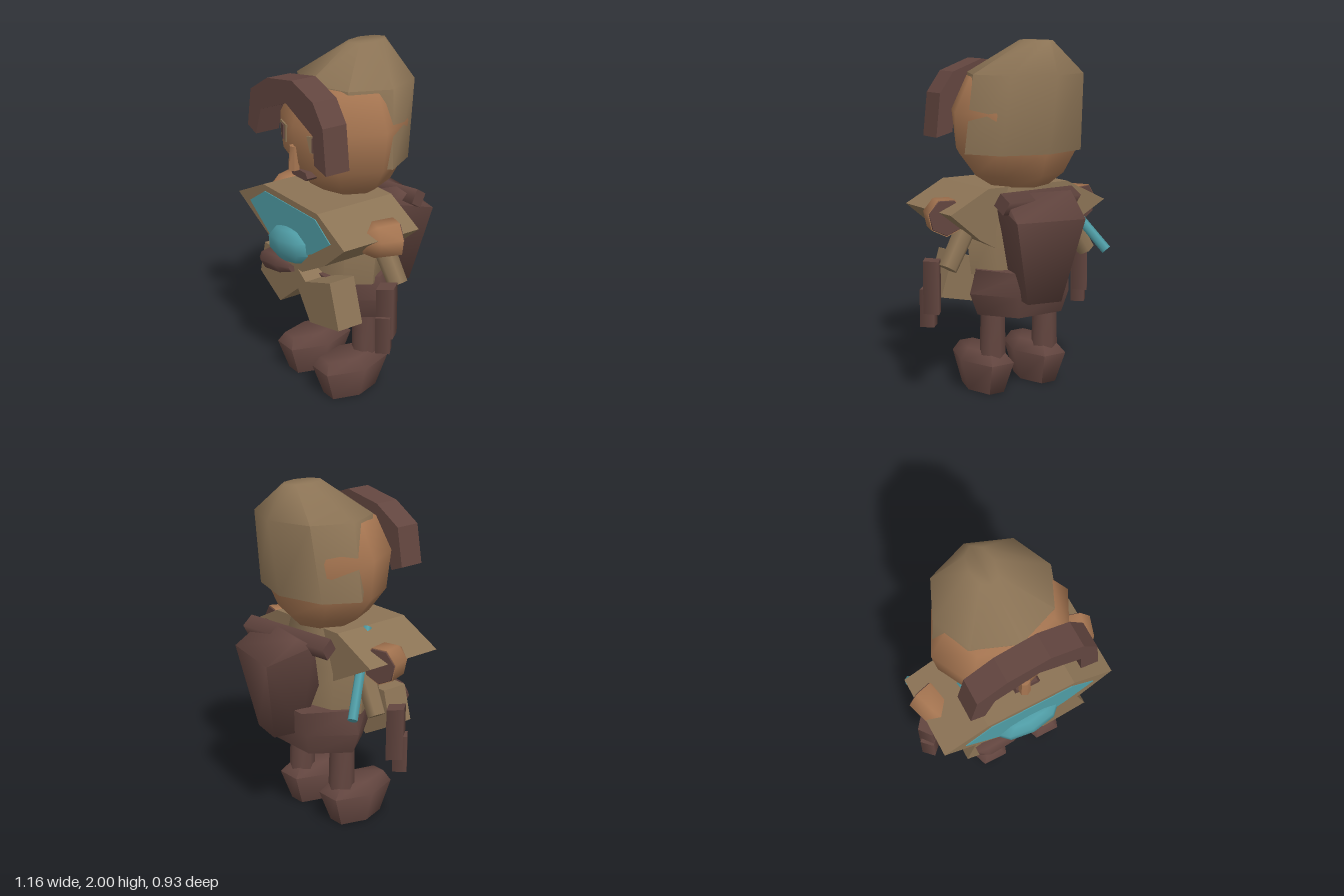
import * as THREE from 'three';
import { toCreasedNormals } from 'three/addons/utils/BufferGeometryUtils.js';

export function createModel() {
  const model = new THREE.Group();
  const mat = (name, color) => {
    const m = new THREE.MeshStandardMaterial({ color });
    m.name = name;
    return m;
  };
  const tan = mat('tan cloth', 0x8b7355);
  const brown = mat('dark brown leather', 0x62453f);
  const skin = mat('skin', 0xa47450);
  const teal = mat('teal', 0x4f9ca5);

  const add = (name, geo, material, pos = [0, 0, 0], rot = [0, 0, 0]) => {
    const mesh = new THREE.Mesh(geo, material);
    mesh.name = name;
    mesh.position.set(...pos);
    mesh.rotation.set(...rot);
    model.add(mesh);
    return mesh;
  };

  // Closed loft through elliptical rings [y, rx, rz, cx, cz], listed bottom to top
  const loft = (rings, sides = 8, crease = 0.9, phase = 0) => {
    const pos = [], idx = [];
    rings.forEach(([y, rx, rz, cx = 0, cz = 0]) => {
      for (let i = 0; i < sides; i++) {
        const a = (i / sides) * Math.PI * 2 + phase;
        pos.push(cx + rx * Math.sin(a), y, cz + rz * Math.cos(a));
      }
    });
    for (let r = 0; r < rings.length - 1; r++) {
      for (let i = 0; i < sides; i++) {
        const a = r * sides + i, b = r * sides + ((i + 1) % sides);
        idx.push(a, b, b + sides, a, b + sides, a + sides);
      }
    }
    const top = (rings.length - 1) * sides;
    for (let i = 1; i < sides - 1; i++) {
      idx.push(0, i + 1, i, top, top + i, top + i + 1);
    }
    const g = new THREE.BufferGeometry();
    g.setAttribute('position', new THREE.Float32BufferAttribute(pos, 3));
    g.setIndex(idx);
    return toCreasedNormals(g, crease);
  };

  // Move vertices by a rule, then rebuild the normals
  const reshape = (geo, rule, crease) => {
    const p = geo.attributes.position, v = new THREE.Vector3();
    for (let i = 0; i < p.count; i++) {
      rule(v.fromBufferAttribute(p, i));
      p.setXYZ(i, v.x, v.y, v.z);
    }
    return toCreasedNormals(geo, crease);
  };

  // Flat outline in x, y pulled from z0 to z1
  const slab = (points, z0, z1) => {
    const shape = new THREE.Shape(points.map(([x, y]) => new THREE.Vector2(x, y)));
    const g = new THREE.ExtrudeGeometry(shape, { depth: z1 - z0, bevelEnabled: false });
    return g.translate(0, 0, z0);
  };

  // Tapered rod between two points
  const rod = (name, a, b, ra, rb, sides, material) => {
    const p = new THREE.Vector3(...a), q = new THREE.Vector3(...b);
    const dir = q.clone().sub(p);
    const g = new THREE.CylinderGeometry(rb, ra, dir.length(), sides);
    const mesh = add(name, g, material, p.clone().add(q).multiplyScalar(0.5).toArray());
    mesh.quaternion.setFromUnitVectors(new THREE.Vector3(0, 1, 0), dir.normalize());
  };

  // Four-sided post with its corners on the x and z axes
  const post = (rx, h, rz) => new THREE.CylinderGeometry(1, 1, h, 4).scale(rx, 1, rz);

  // Head
  add('head', loft([
    [1.17, 0.06, 0.05, 0, 0.02], [1.19, 0.17, 0.15, 0, 0.01], [1.26, 0.28, 0.235, 0, 0.025],
    [1.39, 0.375, 0.3, 0, 0.045], [1.61, 0.402, 0.328, 0, 0.04],
    [1.8, 0.31, 0.26, 0, 0.03], [1.9, 0.1, 0.1, 0, 0],
  ], 8, 1.5), skin);

  // Hood, with its lower front tucked into the head
  add('hood', reshape(loft([
    [1.39, 0.378, 0.268, 0, -0.018], [1.82, 0.338, 0.312, 0, -0.045], [2, 0.07, 0.122, -0.014, -0.132],
  ], 8), (v) => {
    if (v.y < 1.4 && v.z > 0.1) v.multiply(new THREE.Vector3(0.75, 1, 0.7));
  }, 1.2), tan);

  // Fringe arching over the brow
  add('hairFringe', slab([
    [-0.37, 1.527], [-0.288, 1.495], [-0.23, 1.653], [0.02, 1.75], [0.267, 1.638], [0.278, 1.479],
    [0.384, 1.452], [0.357, 1.7], [0.27, 1.818], [0.08, 1.886], [-0.16, 1.844], [-0.33, 1.743],
  ], 0.272, 0.42), brown);

  // Face
  for (const s of [-1, 1]) {
    const tilt = s * 0.33;
    add('eye', slab([[-0.065, 0.045], [-0.045, -0.045], [0.05, -0.05], [0.06, 0.05]], 0, 0.009), tan,
      [s * 0.157, 1.53, 0.316], [0, tilt, 0]);
    add('pupil', new THREE.BoxGeometry(0.042, 0.08, 0.009), brown, [s * 0.155, 1.53, 0.329], [0, tilt, 0]);
  }
  add('nose', loft([[1.355, 0.034, 0.034], [1.49, 0.028, 0.022]], 6), skin, [-0.017, 0, 0.352]);
  add('moustache', slab([
    [-0.065, 1.322], [-0.055, 1.31], [0.075, 1.31], [0.087, 1.325], [0.07, 1.355], [-0.055, 1.355],
  ], 0.27, 0.336), brown);

  // Torso, poncho and its inlay
  add('torso', loft([[0.7, 0.3, 0.2, 0, 0.05], [0.95, 0.33, 0.2, 0, 0.05], [1.2, 0.2, 0.16, 0, 0.02]], 8), tan);
  add('poncho', slab([
    [-0.53, 1.07], [-0.03, 0.81], [0.12, 0.805], [0.33, 0.92], [0.515, 1.075], [0.27, 1.2], [-0.26, 1.2],
  ], -0.093, 0.4), tan);
  add('ponchoInlay', slab([
    [-0.4, 1.06], [-0.2, 0.92], [0.1, 0.895], [0.22, 0.95], [0.395, 1.07], [0.255, 1.165], [-0.24, 1.165],
  ], 0.398, 0.405), teal);
  add('chestGem', toCreasedNormals(new THREE.SphereGeometry(1, 8, 5).scale(0.203, 0.11, 0.08), 1.2), teal,
    [-0.008, 0.927, 0.39], [0, 0, 0.14]);

  // Skirt, belt pouch and hips
  add('skirt', slab([
    [-0.38, 0.61], [-0.175, 0.495], [0.015, 0.65], [0.13, 0.485], [0.405, 0.548],
    [0.325, 0.805], [0.09, 0.72], [-0.04, 0.81], [-0.325, 0.81],
  ], 0.2, 0.36), tan);
  add('beltPouch', loft([
    [-0.15, 0.035, 0.04], [-0.09, 0.065, 0.07], [0.06, 0.06, 0.065], [0.15, 0.035, 0.035],
  ], 7, 1.0), brown, [-0.172, 0.752, 0.362], [0, 0, -Math.PI / 2 + 0.14]);
  add('hips', loft([
    [0.475, 0.29, 0.23], [0.6, 0.34, 0.27], [0.735, 0.3, 0.295],
  ], 6, 1.2, Math.PI / 2), brown);

  for (const s of [-1, 1]) {
    // Rounded shoulder cup facing forward, with a dark back face
    const cup = [s * 0.47, 1.043, 0.025], turn = [Math.PI / 2, 0, s * 0.27];
    add('shoulder', loft([[0, 0.108, 0.108], [0.125, 0.103, 0.103], [0.19, 0.066, 0.066]], 7, 1.2), skin, cup, turn);
    add('shoulderBack', loft([[-0.006, 0.1, 0.1], [0.001, 0.104, 0.104]], 7), brown, cup, turn);

    // Arms
    rod('sleeve', [s * 0.34, 0.98, 0.03], [s * 0.475, 0.76, 0.01], 0.062, 0.055, 6, tan);
    add('forearm', post(0.057, 0.3, 0.073), brown, [s * 0.514, 0.645, 0.118]);
    add('hand', post(0.056, 0.215, 0.057), brown, [s * 0.523, 0.523, 0.145]);

    // Legs and boots
    add('leg', loft([[0.18, 0.076, 0.078], [0.6, 0.066, 0.07]], 8), brown, [s * 0.18, 0, 0.015]);
    add('boot', loft([
      [0, 0.096, 0.174, 0, 0.003], [0.185, 0.148, 0.246], [0.245, 0.088, 0.192, 0, 0.015],
    ], 6, 1.3, Math.PI / 2), brown, [s * 0.181, 0, 0.12]);
  }

  // Backpack: side profile in (z, y), narrowing towards the bottom
  const pack = slab([
    [-0.34, 0.58], [-0.17, 0.58], [-0.09, 0.87], [-0.14, 1.12], [-0.24, 1.18], [-0.43, 1.05],
  ].map(([z, y]) => [-z, y]), -0.2, 0.2).rotateY(Math.PI / 2);
  add('backpack', reshape(pack, (v) => {
    v.x *= 0.5 + 0.5 * Math.min(1, (v.y - 0.58) / 0.47);
  }, 1.65), brown, [0, 0, -0.003], [0, -0.2, 0]);
  rod('bedroll', [0.3, 1.14, -0.265], [-0.26, 1.12, -0.15], 0.06, 0.06, 4, brown);

  // Slim teal rod slung through the poncho
  rod('tealRod', [-0.485, 0.785, -0.175], [-0.265, 1.19, 0.12], 0.029, 0.026, 6, teal);

  return model;
}
